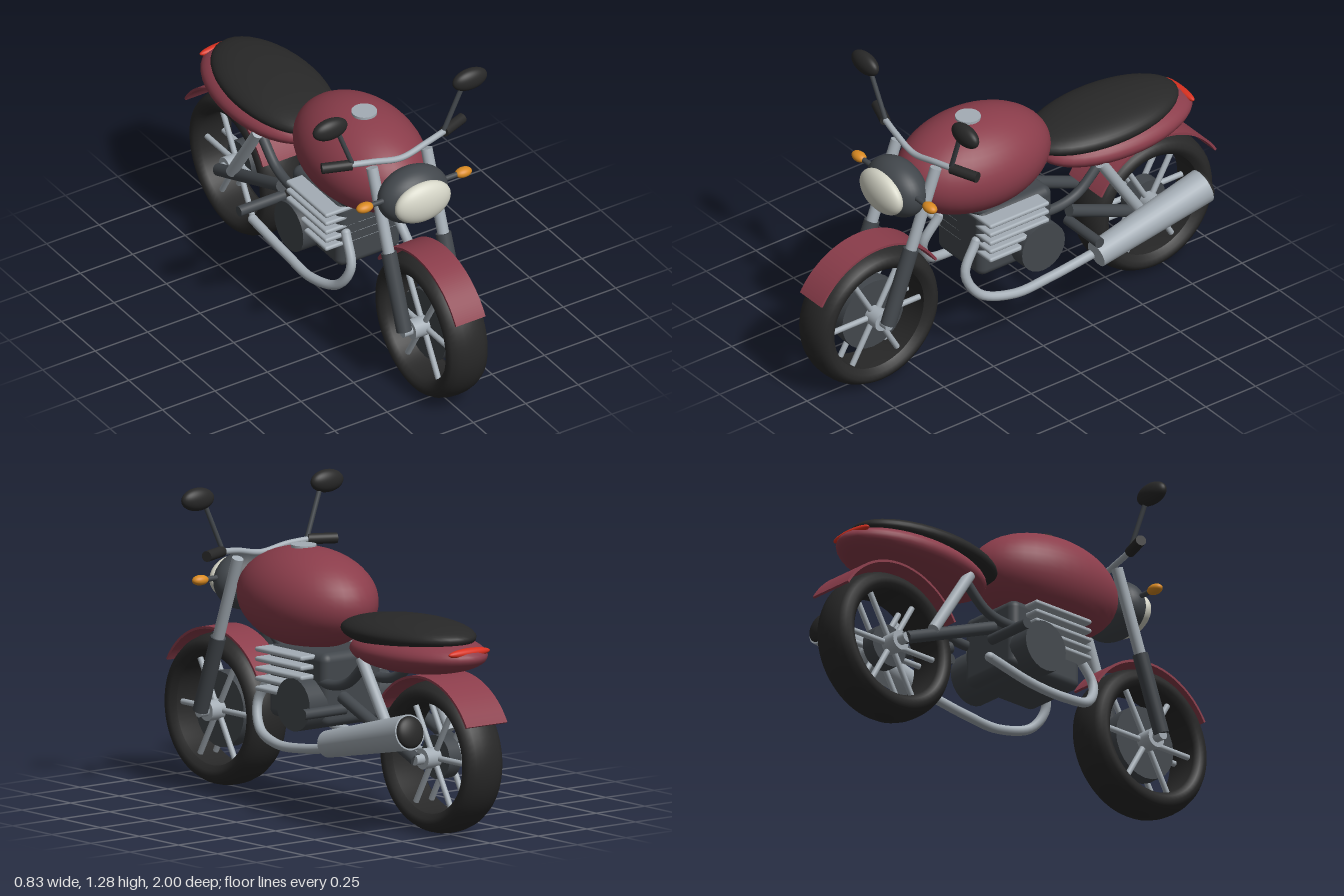
import * as THREE from 'three';
import { RoundedBoxGeometry } from 'three/addons/geometries/RoundedBoxGeometry.js';

const mat = (name, color, side = THREE.FrontSide) => {
  const m = new THREE.MeshStandardMaterial({ color, side });
  m.name = name;
  return m;
};
const V = (p) => new THREE.Vector3(...p);

export function createModel() {
  const model = new THREE.Group();
  model.name = 'motorcycle';
  const paint = mat('maroon paint', 0x8b3d4b);
  const rubber = mat('black rubber', 0x282828);
  const iron = mat('dark iron', 0x42474c);
  const chrome = mat('chrome', 0xa4adb5);
  const glass = mat('lamp glass', 0xd6d6c8);
  const amber = mat('amber', 0xd98a22);
  const red = mat('red lens', 0xd8301f);

  const add = (name, geo, material, parent = model) => {
    const m = new THREE.Mesh(geo, material);
    m.name = name;
    parent.add(m);
    return m;
  };
  const ball = (name, material, c, r, tilt = 0) => {
    const m = add(name, new THREE.SphereGeometry(1, 40, 24), material);
    m.position.set(...c);
    m.scale.set(...r);
    m.rotation.x = tilt;
    return m;
  };
  // Straight round bar from a to b
  const rod = (name, material, a, b, ra, rb = ra, parent = model) => {
    const A = V(a), B = V(b), d = B.clone().sub(A);
    const m = add(name, new THREE.CylinderGeometry(rb, ra, d.length(), 24), material, parent);
    m.position.copy(A).add(B).multiplyScalar(0.5);
    m.quaternion.setFromUnitVectors(new THREE.Vector3(0, 1, 0), d.normalize());
    return m;
  };
  // Bent round bar with closed ends
  const pipe = (name, material, pts, r) => {
    const g = new THREE.TubeGeometry(new THREE.CatmullRomCurve3(pts.map(V)), 40, r, 14);
    add(name, g, material);
    for (const p of [pts[0], pts[pts.length - 1]]) ball(name + 'End', material, p, [r, r, r]);
  };

  // Wheels
  const tyreProfile = [
    [0.225, -0.07], [0.245, -0.09], [0.265, -0.095], [0.285, -0.085], [0.3, -0.06], [0.308, -0.03], [0.31, 0],
    [0.308, 0.03], [0.3, 0.06], [0.285, 0.085], [0.265, 0.095], [0.245, 0.09], [0.225, 0.07], [0.225, -0.07],
  ].map(([r, y]) => new THREE.Vector2(r, y));
  const wheel = (name, z, discRadius) => {
    const g = new THREE.Group();
    g.name = name;
    g.position.set(0, 0.31, z);
    model.add(g);
    add('tyre', new THREE.LatheGeometry(tyreProfile, 64), rubber, g).rotation.z = Math.PI / 2;
    rod('hub', chrome, [-0.1, 0, 0], [0.1, 0, 0], 0.042, 0.042, g);
    rod('axle', chrome, [-0.14, 0, 0], [0.14, 0, 0], 0.022, 0.022, g);
    rod('brakeDisc', iron, [-0.03, 0, 0], [0.03, 0, 0], discRadius, discRadius, g);
    for (let i = 0; i < 6; i++) {
      const a = i * Math.PI / 3, y = Math.sin(a) * 0.235, zz = Math.cos(a) * 0.235;
      for (const s of [-1, 1]) rod('spoke', chrome, [s * 0.04, 0, 0], [s * 0.04, y, zz], 0.012, 0.012, g);
    }
  };
  wheel('frontWheel', 0.69, 0.155);
  wheel('rearWheel', -0.69, 0.09);

  // Mudguards: thin arcs over the wheels
  const mudguard = (name, z, halfWidth) => {
    const s = new THREE.Shape();
    s.absarc(0, 0, 0.338, Math.PI / 6, Math.PI * 5 / 6, false);
    s.absarc(0, 0, 0.328, Math.PI * 5 / 6, Math.PI / 6, true);
    const g = new THREE.ExtrudeGeometry(s, { depth: halfWidth * 2, bevelEnabled: false, curveSegments: 40 });
    g.translate(0, 0, -halfWidth);
    g.rotateY(Math.PI / 2);
    add(name, g, paint).position.set(0, 0.31, z);
  };
  mudguard('frontMudguard', 0.69, 0.07);
  mudguard('rearMudguard', -0.69, 0.105);

  // Body
  ball('tank', paint, [0, 0.84, 0.165], [0.235, 0.205, 0.35]);
  rod('fuelCap', chrome, [0, 1.03, 0.19], [0, 1.05, 0.19], 0.052);
  ball('tailBody', paint, [0, 0.718, -0.545], [0.203, 0.085, 0.365], 0.045);
  ball('seat', rubber, [0, 0.788, -0.48], [0.195, 0.07, 0.362], 0.035);
  ball('tailLight', red, [0, 0.757, -0.868], [0.105, 0.02, 0.022]);

  // Headlight
  ball('headlightShell', iron, [0, 0.855, 0.55], [0.157, 0.122, 0.1]);
  ball('headlightLens', glass, [0, 0.857, 0.625], [0.13, 0.09, 0.05]);

  // Engine with cooling fins and round side covers
  add('engineBlock', new RoundedBoxGeometry(0.3, 0.3, 0.37, 4, 0.035), iron).position.set(0, 0.51, 0.055);
  for (let i = 0; i < 5; i++) {
    add('coolingFin', new RoundedBoxGeometry(0.43, 0.02, 0.3, 3, 0.009), chrome).position.set(0, 0.64 - i * 0.04, 0.09);
  }
  rod('engineCover', iron, [-0.225, 0.45, -0.02], [0.225, 0.45, -0.02], 0.108);

  // Handlebar
  pipe('handlebar', chrome, [
    [-0.23, 1.01, 0.435], [-0.13, 1.0, 0.455], [0, 0.978, 0.465], [0.13, 1.0, 0.455], [0.23, 1.01, 0.435],
  ], 0.013);

  for (const s of [-1, 1]) {
    // Fork
    rod('forkTube', chrome, [s * 0.13, 0.97, 0.45], [s * 0.13, 0.5, 0.622], 0.024);
    rod('forkSlider', iron, [s * 0.13, 0.63, 0.575], [s * 0.13, 0.315, 0.69], 0.032);

    // Grips, mirrors and indicators
    rod('grip', rubber, [s * 0.22, 1.01, 0.44], [s * 0.335, 1.008, 0.395], 0.022);
    rod('mirrorStalk', iron, [s * 0.22, 1.02, 0.44], [s * 0.3, 1.215, 0.455], 0.01);
    ball('mirror', rubber, [s * 0.333, 1.233, 0.455], [0.08, 0.047, 0.035]);
    rod('indicatorStalk', iron, [s * 0.13, 0.877, 0.56], [s * 0.21, 0.877, 0.56], 0.011);
    ball('indicator', amber, [s * 0.235, 0.877, 0.56], [0.038, 0.021, 0.025]);

    // Frame, swingarm, shock and foot peg
    pipe('frameTube', iron, [
      [s * 0.1, 0.7, 0.28], [s * 0.12, 0.6, 0.1], [s * 0.13, 0.54, -0.1], [s * 0.13, 0.56, -0.25], [s * 0.13, 0.67, -0.38],
    ], 0.021);
    rod('swingarm', iron, [s * 0.13, 0.5, -0.22], [s * 0.13, 0.31, -0.69], 0.026);
    rod('shock', chrome, [s * 0.15, 0.68, -0.365], [s * 0.15, 0.38, -0.56], 0.024);
    rod('footPeg', iron, [s * 0.12, 0.45, -0.22], [s * 0.335, 0.45, -0.22], 0.022);

    // Exhaust pipe
    pipe('exhaustPipe', chrome, [
      [s * 0.12, 0.53, 0.24], [s * 0.14, 0.41, 0.31], [s * 0.17, 0.31, 0.26],
      [s * 0.2, 0.268, 0.11], [s * 0.2, 0.275, -0.07], [s * 0.21, 0.315, -0.31],
    ], 0.02);
  }

  // Muffler on one side
  rod('muffler', chrome, [0.245, 0.328, -0.27], [0.252, 0.452, -0.8], 0.055, 0.073);
  const tip = ball('mufflerTip', rubber, [0.252, 0.452, -0.8], [0.066, 0.066, 0.03]);
  tip.rotation.x = 0.23;

  return model;
}
